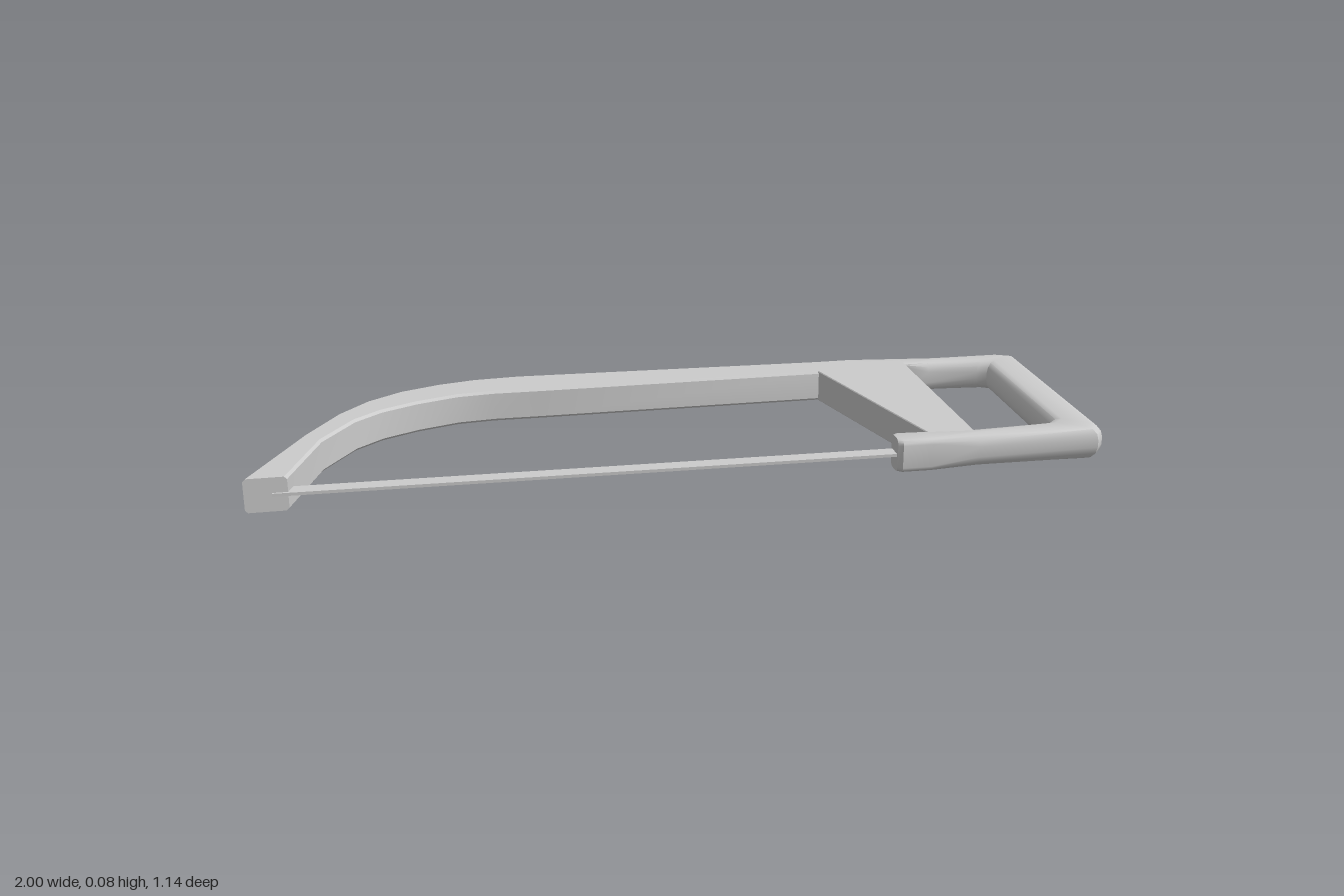
import * as THREE from 'three';
import { toCreasedNormals } from 'three/addons/utils/BufferGeometryUtils.js';

const H = 0.077; // thickness of the saw lying flat

// Loft a rounded-rectangle section through stations [innerX, innerZ, outerX, outerZ, bevel].
function loft(stations, segs) {
  const pos = [], idx = [];
  const n = 4 * (segs + 1);
  stations.forEach(([ix, iz, ox, oz, b]) => {
    const w = Math.hypot(ox - ix, oz - iz);
    for (let c = 0; c < 4; c++) {
      // corner centres, counter-clockwise from outer top
      const cu = c === 0 || c === 3 ? w - b : b;
      const cy = c < 2 ? H - b : b;
      for (let s = 0; s <= segs; s++) {
        const a = (c + s / segs) * Math.PI / 2;
        const t = (cu + b * Math.cos(a)) / w;
        pos.push(ix + (ox - ix) * t, cy + b * Math.sin(a), iz + (oz - iz) * t);
      }
    }
  });
  const last = (stations.length - 1) * n;
  for (let s = 0; s < last; s += n) {
    for (let k = 0; k < n; k++) {
      const a = s + k, c = s + (k + 1) % n;
      idx.push(a, c, a + n, c, c + n, a + n);
    }
  }
  for (let k = 1; k < n - 1; k++) { // end caps
    idx.push(0, k + 1, k, last, last + k, last + k + 1);
  }
  const g = new THREE.BufferGeometry();
  g.setAttribute('position', new THREE.Float32BufferAttribute(pos, 3));
  g.setIndex(idx);
  return toCreasedNormals(g, 0.65);
}

export function createModel() {
  const group = new THREE.Group();
  const mat = new THREE.MeshStandardMaterial({ color: 0xcccccc });
  const add = (name, geometry) => {
    const mesh = new THREE.Mesh(geometry, mat);
    mesh.name = name;
    group.add(mesh);
    return mesh;
  };

  // Curved bow running from the front tip back to the handle
  const e = 0.006;
  add('bowFrame', loft([
    [-0.915, -0.175, -1.0, -0.21, e],
    [-0.77, -0.35, -0.79, -0.405, e],
    [-0.655, -0.435, -0.67, -0.50, e],
    [-0.575, -0.465, -0.575, -0.55, e],
    [-0.48, -0.475, -0.48, -0.574, e],
    [-0.375, -0.47, -0.38, -0.574, e],
    [-0.29, -0.445, -0.29, -0.56, e],
    [-0.185, -0.40, -0.185, -0.525, e],
    [0.47, -0.13, 0.515, -0.205, e],
    [0.695, -0.055, 0.59, -0.171, e],
  ].map((s, i) => i > 0 && i < 8 ? straighten(s) : s), 1));

  // Flat tapered web between the bow and the lower bar
  add('handleWeb', loft([
    [0.475, -0.16, 0.71, -0.09, 0.002],
    [0.39, 0.385, 0.485, 0.43, 0.002],
  ], 1));

  // Rounded grip loop ending in the blade clamp
  const r = 0.03;
  add('handleGrip', loft([
    [0.695, -0.055, 0.59, -0.171, e],
    [0.75, -0.028, 0.80, -0.075, 0.024],
    [0.865, 0.03, 0.975, 0.004, r],
    [0.88, 0.052, 0.998, 0.032, r],
    [0.70, 0.445, 0.762, 0.555, r],
    [0.668, 0.457, 0.737, 0.567, r],
    [0.50, 0.395, 0.475, 0.455, 0.026],
    [0.395, 0.355, 0.37, 0.412, 0.012],
    [0.335, 0.325, 0.308, 0.385, 0.012],
    [0.322, 0.327, 0.302, 0.373, 0.014],
  ], 3));

  // Thin blade stretched between the tip and the clamp
  const a = [-0.94, -0.2], b = [0.34, 0.362];
  const dx = b[0] - a[0], dz = b[1] - a[1];
  const blade = add('blade', new THREE.BoxGeometry(Math.hypot(dx, dz), 0.007, 0.037));
  blade.position.set((a[0] + b[0]) / 2, H / 2, (a[1] + b[1]) / 2);
  blade.rotation.y = -Math.atan2(dz, dx);

  return group;
}

// Keep a bow station as given, rounded to tidy values
function straighten(s) {
  return s.map((v) => Math.round(v * 1000) / 1000);
}
